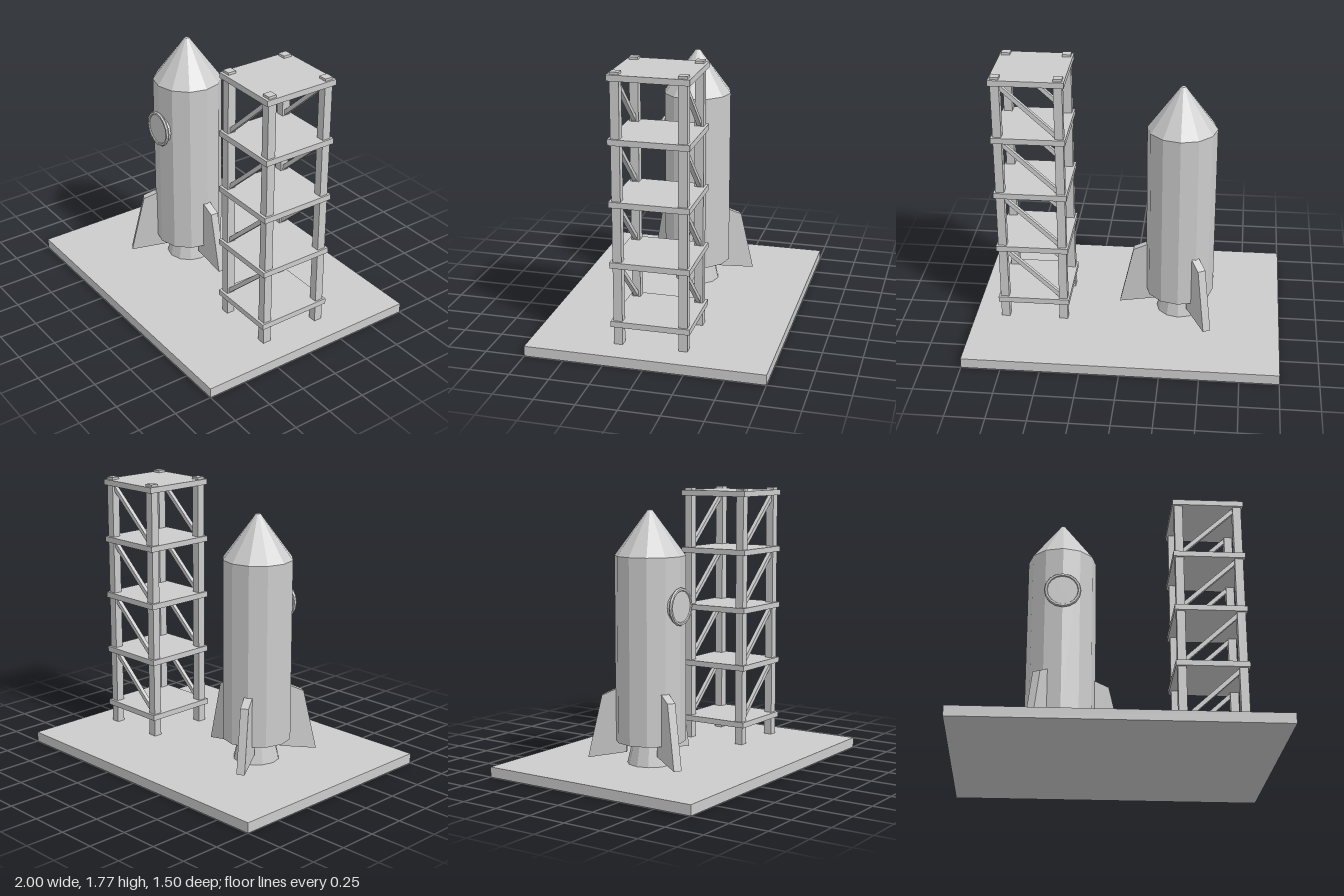
import * as THREE from 'three';

export function createModel() {
  const grey = new THREE.MeshStandardMaterial({ color: 0xcccccc, flatShading: true });
  grey.name = 'light grey';
  const model = new THREE.Group();
  model.name = 'launchPad';

  const add = (parent, name, geometry, x = 0, y = 0, z = 0) => {
    const mesh = new THREE.Mesh(geometry, grey);
    mesh.name = name;
    mesh.position.set(x, y, z);
    parent.add(mesh);
    return mesh;
  };
  const box = (w, h, d) => new THREE.BoxGeometry(w, h, d);

  // Ground slab
  const slabTop = 0.065;
  add(model, 'base', box(2, slabTop, 1.5), 0, slabTop / 2, 0);

  // Rocket: nozzle, body and nose as stacked twelve-sided rounds
  const rocket = new THREE.Group();
  rocket.name = 'rocket';
  rocket.position.x = -0.335;
  model.add(rocket);
  const round = (name, rTop, rBottom, y0, y1) =>
    add(rocket, name, new THREE.CylinderGeometry(rTop, rBottom, y1 - y0, 12), 0, (y0 + y1) / 2, 0);
  round('nozzle', 0.115, 0.148, slabTop, 0.21);
  round('body', 0.222, 0.222, 0.21, 1.375);
  round('noseCone', 0.015, 0.222, 1.375, 1.655);

  // Round window on the front
  const glass = add(rocket, 'windowPane', new THREE.CylinderGeometry(0.1, 0.1, 0.035, 16), 0, 1.07, 0.215);
  glass.rotation.x = Math.PI / 2;
  add(rocket, 'windowRing', new THREE.TorusGeometry(0.107, 0.012, 6, 16), 0, 1.07, 0.229);

  // Three swept fins, evenly spaced
  const finShape = new THREE.Shape(
    [[0.15, 0.134], [0.395, 0.095], [0.305, 0.495], [0.22, 0.535], [0.15, 0.565]]
      .map(([x, y]) => new THREE.Vector2(x, y)));
  const finGeometry = new THREE.ExtrudeGeometry(finShape, { depth: 0.052, bevelEnabled: false });
  finGeometry.translate(0, 0, -0.026);
  for (let i = 0; i < 3; i++) {
    add(rocket, 'fin', finGeometry).rotation.y = (i * Math.PI * 2) / 3;
  }

  // Service tower: posts, platforms and diagonal braces
  const tower = new THREE.Group();
  tower.name = 'tower';
  tower.position.x = 0.607;
  model.add(tower);
  const postX = 0.193, postZ = 0.203, postSize = 0.055, postTop = 1.767;
  for (const sx of [-1, 1]) for (const sz of [-1, 1]) {
    add(tower, 'post', box(postSize, postTop - slabTop, postSize),
      sx * postX, (postTop + slabTop) / 2, sz * postZ);
  }

  const firstLevel = 0.2, step = 0.3833;
  for (let i = 0; i < 5; i++) {
    const y = firstLevel + i * step;
    add(tower, 'platform', box(0.466, 0.037, 0.495), 0, y, 0);
    if (i === 4) continue;
    for (const sz of [-1, 1]) {
      const brace = add(tower, 'brace', box(0.47, 0.027, 0.027), 0, y + step / 2, sz * postZ);
      brace.rotation.z = Math.atan2(0.305, 0.33);
    }
  }
  return model;
}
